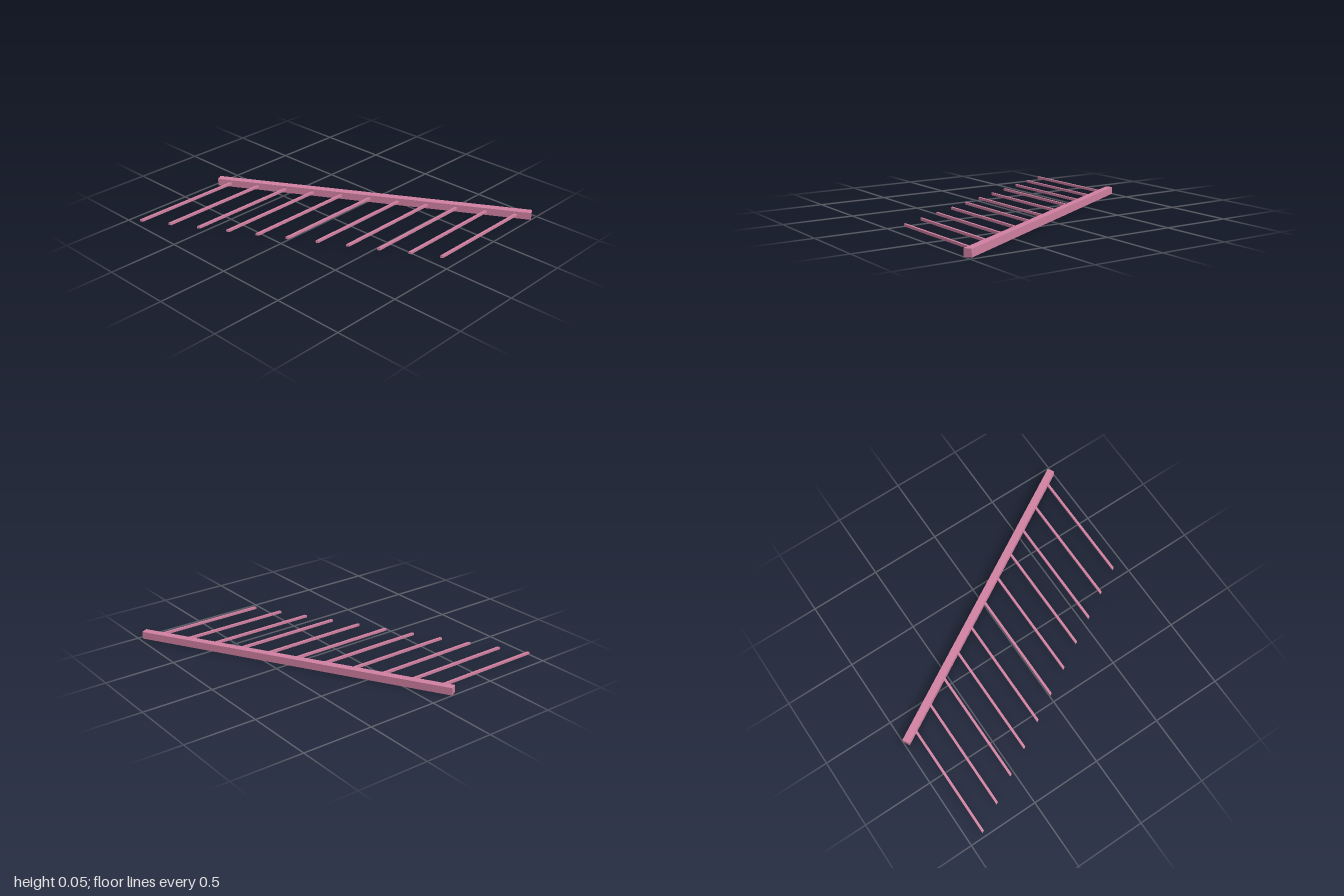
import * as THREE from 'three';

const SLOPE = Math.tan(Math.PI / 6); // x gained per unit of z along the slanted bar
const BAR_X = 0.3835;                // bar centre line at z = 0
const BAR_SIZE = 0.052;
const BAR_LENGTH = 2.279;
const TINE_SIZE = 0.017;
const TINE_LENGTH = 0.812;
const TINE_COUNT = 11;

export function createModel() {
  const group = new THREE.Group();
  const material = new THREE.MeshStandardMaterial({ color: 0xd080a0 });

  // Square bar, turned 30 degrees in plan
  const bar = new THREE.Mesh(new THREE.BoxGeometry(BAR_SIZE, BAR_SIZE, BAR_LENGTH), material);
  bar.name = 'bar';
  bar.position.set(BAR_X, BAR_SIZE / 2, 0);
  bar.rotation.y = Math.PI / 6;
  group.add(bar);

  // Thin tine, sheared so both ends run parallel to the bar
  const tineGeometry = new THREE.BoxGeometry(TINE_LENGTH, TINE_SIZE, TINE_SIZE);
  const p = tineGeometry.attributes.position;
  for (let i = 0; i < p.count; i++) p.setX(i, p.getX(i) + SLOPE * p.getZ(i));
  tineGeometry.computeVertexNormals();

  // Evenly spaced tines, starting at the bar's side face
  const faceOffset = BAR_SIZE / 2 / Math.cos(Math.PI / 6);
  const tines = new THREE.Group();
  tines.name = 'tines';
  for (let i = 0; i < TINE_COUNT; i++) {
    const z = -0.889 + i * 0.1796;
    const tine = new THREE.Mesh(tineGeometry, material);
    tine.name = `tine${i + 1}`;
    tine.position.set(BAR_X + SLOPE * z - faceOffset - TINE_LENGTH / 2, BAR_SIZE / 2, z);
    tines.add(tine);
  }
  group.add(tines);
  return group;
}
